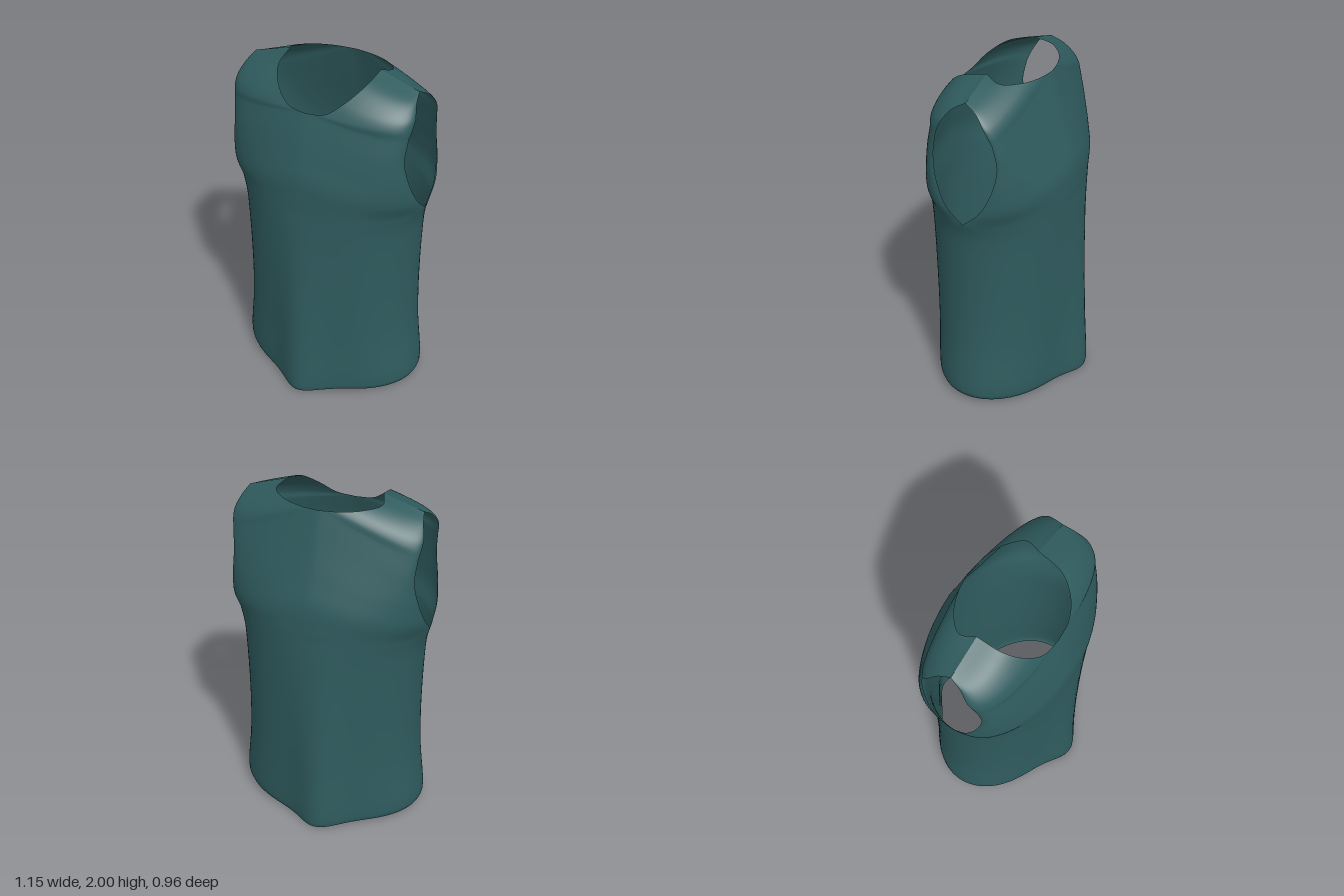
import * as THREE from 'three';
import { mergeVertices } from 'three/addons/utils/BufferGeometryUtils.js';

const COLS = 28;

// Outer edge of a half panel: side seam, lower armhole, upper armhole to shoulder tip
const outer = [
  [[0.555, 0.03, 0], [0.566, 0.06, 0], [0.54, 0.35, 0], [0.53, 0.6, 0], [0.535, 0.95, 0], [0.548, 1.14, 0], [0.572, 1.235, 0]],
  [[0.572, 1.235, 0], [0.572, 1.33, 0.1], [0.552, 1.46, 0.165], [0.532, 1.6, 0.19], [0.54, 1.73, 0.168]],
  [[0.54, 1.73, 0.168], [0.549, 1.78, 0.147], [0.551, 1.83, 0.118], [0.53, 1.89, 0.07], [0.51, 1.93, 0]],
];

// Inner edge: centre line up to the neck, then the neckline to the shoulder seam
const lowerCentre = [[0, 0, 0.383], [0, 0.03, 0.39], [0, 0.35, 0.395], [0, 0.6, 0.4], [0, 0.95, 0.407], [0, 1.15, 0.411], [0, 1.3, 0.412]];
const frontInner = [
  lowerCentre,
  [[0, 1.3, 0.412], [0, 1.45, 0.407], [0, 1.58, 0.378], [0, 1.7, 0.347], [0, 1.81, 0.312]],
  [[0, 1.81, 0.312], [0.11, 1.825, 0.3], [0.2, 1.89, 0.25], [0.265, 1.96, 0.15], [0.28, 2, 0]],
];
const backInner = [
  lowerCentre,
  [[0, 1.3, 0.412], [0, 1.45, 0.4], [0, 1.6, 0.355], [0, 1.79, 0.295], [0, 1.955, 0.245]],
  [[0, 1.955, 0.245], [0.12, 1.957, 0.225], [0.23, 1.962, 0.175], [0.307, 1.972, 0.09], [0.28, 2, 0]],
];

const toCurve = pts => new THREE.CatmullRomCurve3(pts.map(p => new THREE.Vector3(...p)));

// Rows of points rising from hem to shoulder, each arching from inner to outer edge
function halfPanel(inner, sx, sz, foldX, positions, indices) {
  const base = positions.length / 3;
  let rows = 0;
  inner.forEach((pts, k) => {
    const inCurve = toCurve(pts), outCurve = toCurve(outer[k]);
    const steps = (pts.length - 1) * 6;
    for (let i = k ? 1 : 0; i <= steps; i++, rows++) {
      const a = inCurve.getPoint(i / steps), b = outCurve.getPoint(i / steps);
      for (let j = 0; j <= COLS; j++) {
        const ang = (j / COLS) * Math.PI / 2;
        const f = Math.sin(ang), c = j === COLS ? 0 : Math.cos(ang);
        const x = sx * (a.x + (b.x - a.x) * f);
        const y = a.y + (b.y - a.y) * f;
        // soft fold that pushes the hem outward near the middle
        const fold = 0.095 * Math.max(0, 1 - y / 1.25) * Math.exp(-(((x - foldX) / 0.15) ** 2));
        const z = sz * (b.z + (a.z - b.z) * c + fold * Math.min(1, c * 2));
        positions.push(x, y, z);
      }
    }
  });
  const w = COLS + 1;
  for (let i = 0; i < rows - 1; i++) {
    for (let j = 0; j < COLS; j++) {
      const p = base + i * w + j, q = p + 1, r = p + w, s = r + 1;
      if (sx * sz > 0) indices.push(p, q, s, p, s, r);
      else indices.push(p, s, q, p, r, s);
    }
  }
}

function panel(name, inner, sz, foldX, material) {
  const positions = [], indices = [];
  for (const sx of [1, -1]) halfPanel(inner, sx, sz, foldX, positions, indices);
  let geometry = new THREE.BufferGeometry();
  geometry.setAttribute('position', new THREE.Float32BufferAttribute(positions, 3));
  geometry.setIndex(indices);
  geometry = mergeVertices(geometry, 1e-4);
  geometry.computeVertexNormals();
  const mesh = new THREE.Mesh(geometry, material);
  mesh.name = name;
  return mesh;
}

export function createModel() {
  const group = new THREE.Group();
  group.name = 'sleevelessShirt';
  const fabric = new THREE.MeshStandardMaterial({ color: 0x2f5b5e, side: THREE.DoubleSide });
  fabric.name = 'tealFabric';
  group.add(
    panel('frontPanel', frontInner, 1, 0.01, fabric),
    panel('backPanel', backInner, -1, -0.07, fabric),
  );
  return group;
}
